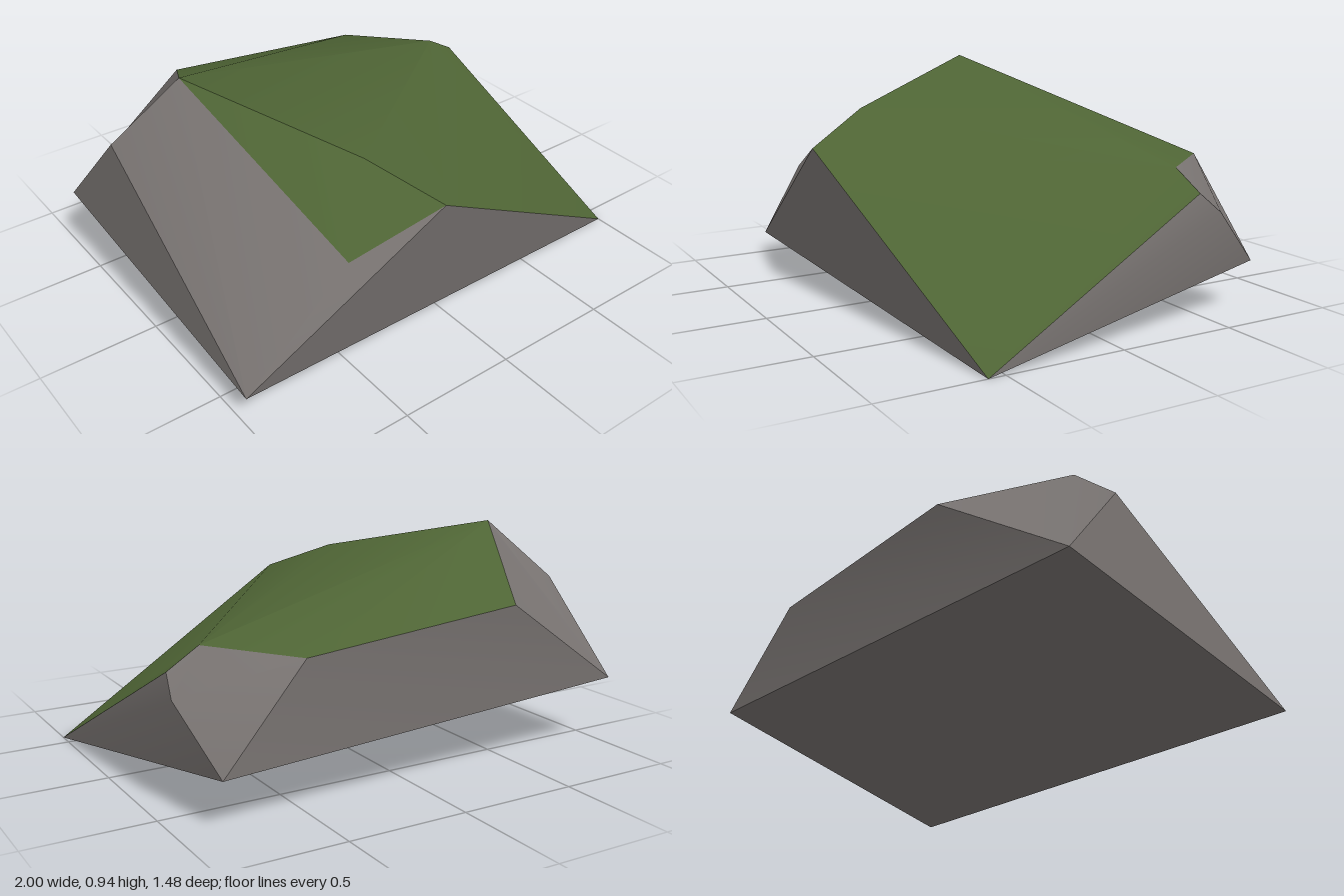
import * as THREE from 'three';
import { toCreasedNormals } from 'three/addons/utils/BufferGeometryUtils.js';

// Corners of the boulder
const P = {
  baseFL: [-0.98, 0.10, 0.66], baseFR: [1.0, 0, 0.57],
  baseBR: [0.85, 0.20, -0.74], baseBL: [-1.0, 0.29, -0.68],
  peak: [-0.67, 0.935, -0.24], ridge: [-0.285, 0.765, 0.455], brow: [-0.12, 0.64, 0.74],
  chip: [-0.51, 0.50, 0.655], shoulder: [-0.945, 0.68, -0.34], back: [-0.42, 0.68, -0.74],
  capL: [0.505, 0.587, -0.72], capF: [0.775, 0.60, -0.40],
  cornerTop: [0.91, 0.52, -0.41], cornerLow: [0.93, 0.44, -0.50],
};

// Faces as fans of corners; winding is fixed outward below
const mossFaces = [
  ['ridge', 'peak', 'capF'], ['ridge', 'brow', 'capF'],
  ['peak', 'capF', 'capL'], ['peak', 'capL', 'back'],
  ['brow', 'baseFR', 'capF'], ['baseFR', 'cornerTop', 'capF'],
  ['chip', 'peak', 'ridge'], ['chip', 'ridge', 'brow'],
];
const rockFaces = [
  ['baseFL', 'baseFR', 'brow'], ['baseFL', 'brow', 'chip'], ['baseFL', 'chip', 'peak'],
  ['baseFL', 'peak', 'shoulder'], ['baseFL', 'shoulder', 'baseBL'],
  ['peak', 'back', 'baseBL', 'shoulder'],
  ['baseBL', 'back', 'capL', 'baseBR'],
  ['capF', 'cornerTop', 'cornerLow'], ['capF', 'cornerLow', 'capL'], ['capL', 'cornerLow', 'baseBR'],
  ['baseFR', 'cornerLow', 'cornerTop'], ['baseFR', 'baseBR', 'cornerLow'],
  ['baseFL', 'baseFR', 'baseBR', 'baseBL'],
];

const centre = new THREE.Vector3(0, 0.4, 0);

// Fan-triangulate faces, turning each triangle away from the centre
function addFaces(faces, out) {
  for (const face of faces) {
    for (let i = 1; i < face.length - 1; i++) {
      const [a, b, c] = [face[0], face[i], face[i + 1]].map((n) => new THREE.Vector3(...P[n]));
      const normal = b.clone().sub(a).cross(c.clone().sub(a));
      const outward = normal.dot(a.clone().sub(centre)) > 0;
      for (const v of outward ? [a, b, c] : [a, c, b]) out.push(v.x, v.y, v.z);
    }
  }
}

export function createModel() {
  const moss = new THREE.MeshStandardMaterial({ color: 0x4f6535 });
  moss.name = 'moss green';
  const stone = new THREE.MeshStandardMaterial({ color: 0x777270 });
  stone.name = 'stone grey';

  // One closed shell so shading flows across the moss boundary
  const pos = [];
  addFaces(mossFaces, pos);
  const mossCount = pos.length / 3;
  addFaces(rockFaces, pos);
  const shell = new THREE.BufferGeometry();
  shell.setAttribute('position', new THREE.Float32BufferAttribute(pos, 3));
  const geometry = toCreasedNormals(shell, 0.66);
  geometry.clearGroups();
  geometry.addGroup(0, mossCount, 0);
  geometry.addGroup(mossCount, pos.length / 3 - mossCount, 1);

  const boulder = new THREE.Mesh(geometry, [moss, stone]);
  boulder.name = 'mossyBoulder';
  const group = new THREE.Group();
  group.name = 'boulder';
  group.add(boulder);
  return group;
}
